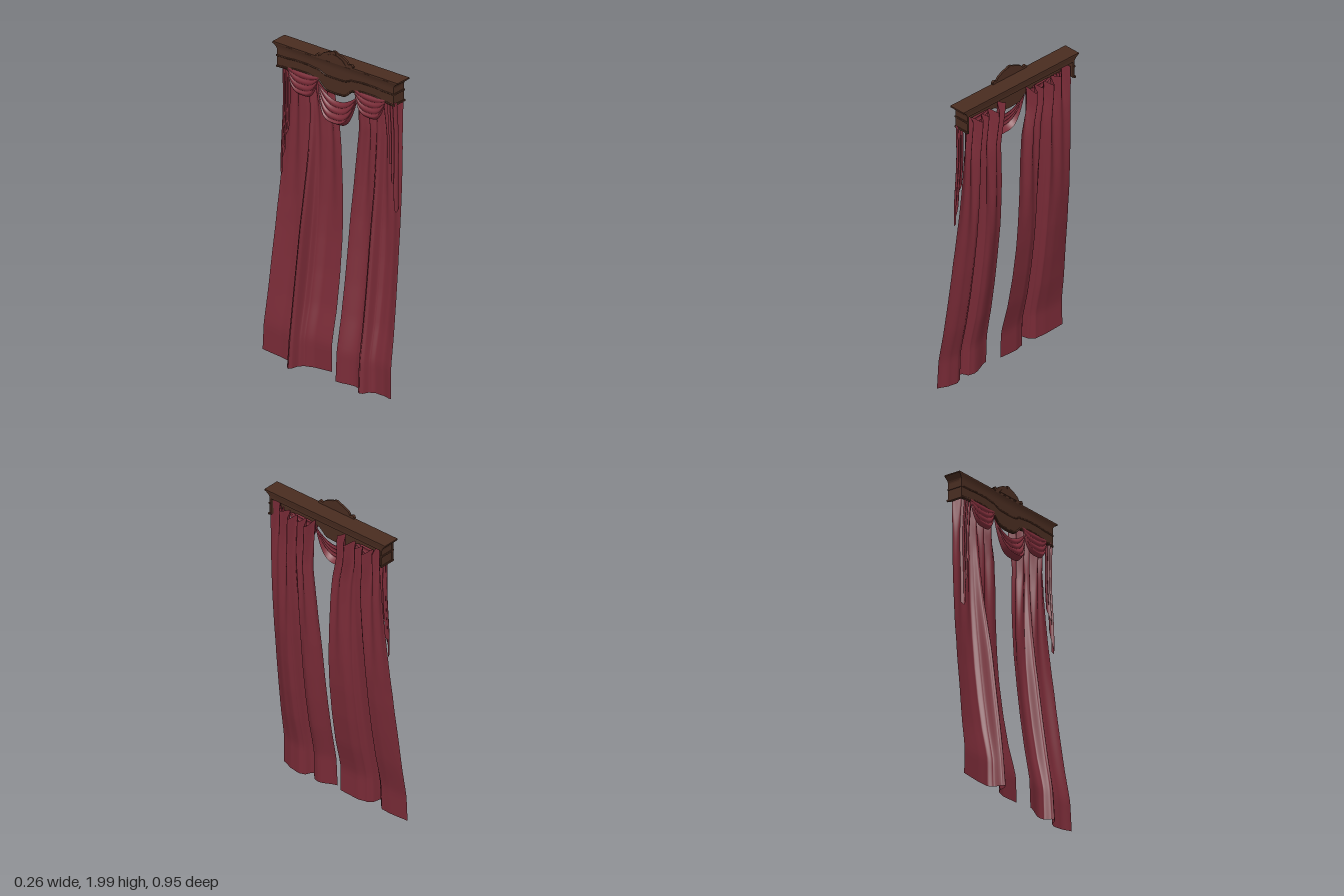
import * as THREE from 'three';

const wood = new THREE.MeshStandardMaterial({ color: 0x492c20 });
wood.name = 'dark wood';
const cloth = new THREE.MeshStandardMaterial({ color: 0x792b37, side: THREE.DoubleSide });
cloth.name = 'red cloth';

// Lookup through a short list of [position, value] keys, optionally eased
function keyed(keys, t, ease = false) {
  if (t <= keys[0][0]) return keys[0][1];
  for (let i = 1; i < keys.length; i++) {
    const [a, va] = keys[i - 1], [b, vb] = keys[i];
    if (t <= b) {
      const k = (t - a) / (b - a);
      return THREE.MathUtils.lerp(va, vb, ease ? k * k * (3 - 2 * k) : k);
    }
  }
  return keys[keys.length - 1][1];
}

// Cloth sheet: rule(u, v) gives [x, y, z], v runs from bottom to top
function sheet(name, nu, nv, rule) {
  const geo = new THREE.PlaneGeometry(1, 1, nu, nv);
  const p = geo.attributes.position;
  for (let i = 0; i < p.count; i++) p.setXYZ(i, ...rule(p.getX(i) + 0.5, p.getY(i) + 0.5));
  geo.computeVertexNormals();
  const mesh = new THREE.Mesh(geo, cloth);
  mesh.name = name;
  return mesh;
}

// Flat outline in (z, y), given thickness from xFront to xBack
function plate(name, points, xFront, xBack) {
  const shape = new THREE.Shape(points.map(([z, y]) => new THREE.Vector2(z, y)));
  const geo = new THREE.ExtrudeGeometry(shape, { depth: xBack - xFront, bevelEnabled: false });
  geo.rotateY(-Math.PI / 2).translate(xBack, 0, 0);
  const mesh = new THREE.Mesh(geo, wood);
  mesh.name = name;
  return mesh;
}

function box(name, x0, x1, y0, y1, z0, z1) {
  const mesh = new THREE.Mesh(new THREE.BoxGeometry(x1 - x0, y1 - y0, z1 - z0), wood);
  mesh.position.set((x0 + x1) / 2, (y0 + y1) / 2, (z0 + z1) / 2);
  mesh.name = name;
  return mesh;
}

// Height of the shaped lower edge of the pelmet, mirrored about the centre
const lowerEdge = (z) => keyed([[0, 1.73], [0.06, 1.733], [0.13, 1.78], [0.2, 1.795], [0.28, 1.795],
  [0.35, 1.783], [0.42, 1.78]], Math.abs(z), true);

function createPelmet() {
  const g = new THREE.Group();
  g.name = 'pelmet';

  // Front board, the bead along its lower edge and a gentler one above
  const low = [], trim = [];
  for (let i = 0; i <= 60; i++) {
    const z = -0.42 + 0.84 * i / 60;
    low.push([z, lowerEdge(z)]);
    trim.push(new THREE.Vector3(0.021, lowerEdge(z) + 0.008, z));
  }
  g.add(plate('frontBoard', [...low, [0.42, 1.9], [-0.42, 1.9]], 0.02, 0.032));
  const upper = trim.map((p) => new THREE.Vector3(p.x, 1.852 + (p.y - 1.788) * 0.45, p.z));
  for (const [name, path] of [['lowerBead', trim], ['middleBead', upper]]) {
    const bead = new THREE.Mesh(
      new THREE.TubeGeometry(new THREE.CatmullRomCurve3(path), 80, 0.005, 6), wood);
    bead.name = name;
    g.add(bead);
  }

  // End boards with their beads
  for (const s of [-1, 1]) {
    const span = (a, b) => (s > 0 ? [a, b] : [-b, -a]);
    g.add(box('endBoard', 0.02, 0.115, 1.78, 1.9, ...span(0.406, 0.417)));
    g.add(box('endBead', 0.017, 0.117, 1.847, 1.856, ...span(0.412, 0.423)));
    g.add(box('endBead', 0.017, 0.122, 1.78, 1.79, ...span(0.412, 0.423)));
  }

  // Flared crown: the block widens towards its top
  const geo = new THREE.BoxGeometry(1, 1, 1, 1, 5, 1);
  const p = geo.attributes.position;
  for (let i = 0; i < p.count; i++) {
    const v = p.getY(i) + 0.5, flare = 0.03 * v * v;
    p.setXYZ(i, p.getX(i) > 0 ? 0.115 + flare / 6 : 0.02 - flare / 4, 1.885 + 0.04 * v,
      Math.sign(p.getZ(i)) * (0.417 + flare));
  }
  const crown = new THREE.Mesh(geo.toNonIndexed(), wood);
  crown.geometry.computeVertexNormals();
  crown.name = 'crown';
  g.add(crown, box('topBoard', 0.013, 0.12, 1.924, 1.933, -0.445, 0.452));

  // Crest with a raised inner panel, scrolls and a centre boss
  const half = [[0.13, 1.93], [0.135, 1.942], [0.12, 1.952], [0.1, 1.946], [0.09, 1.962], [0.065, 1.976],
    [0.045, 1.985], [0.025, 1.99], [0.012, 1.998], [0, 2]];
  const mirrored = (pts) => [...pts, ...pts.slice(0, -1).reverse().map(([z, y]) => [-z, y])];
  g.add(plate('crest', mirrored(half), 0.012, 0.025));
  g.add(plate('crestPanel', mirrored([[0.08, 1.937], [0.06, 1.958], [0.03, 1.974], [0, 1.98]]), 0.009, 0.014));
  for (const [z, y, r] of [[-0.12, 1.943, 0.01], [0.12, 1.943, 0.01], [0, 1.985, 0.012]]) {
    const boss = new THREE.Mesh(new THREE.CylinderGeometry(r, r, 0.016, 14), wood);
    boss.rotation.z = Math.PI / 2;
    boss.position.set(0.0175, y, z);
    boss.name = 'crestScroll';
    g.add(boss);
  }
  return g;
}

// Front and back limits of the folds at each height
const foldFront = [[0, -0.137], [0.2, -0.12], [0.4, -0.096], [0.6, -0.07], [0.8, -0.044], [1, -0.018],
  [1.2, 0.004], [1.35, 0.016], [1.5, 0.022], [1.9, 0.026]];
const foldBack = [[0, -0.032], [0.2, -0.03], [0.27, -0.015], [0.4, 0.018], [0.6, 0.053], [0.8, 0.078],
  [1, 0.095], [1.2, 0.106], [1.5, 0.114], [1.9, 0.11]];
// How far the outer edge is pulled towards the front at each height
const edgePull = [[0, 0], [0.2, 0.02], [0.4, 0.18], [0.6, 0.27], [0.9, 0.28], [1.2, 0.2], [1.6, 0]];

// Curtain panel: broad folds at the hem turn into soft pleats at the top
function curtain(name, hem, inner, outer, folds, pull) {
  const heading = [[0, 1.84], [0.08, 1.83], [0.18, 1.81], [0.7, 1.805], [0.8, 1.825], [0.87, 1.868], [1, 1.872]];
  return sheet(name, 140, 60, (u, v) => {
    const pleat = -Math.cos(u * 5 * Math.PI * 2);
    const top = keyed(heading, u, true) + 0.008 * pleat;
    const bottom = hem - 0.012 * Math.sin(u * Math.PI);
    const y = THREE.MathUtils.lerp(bottom, top, v);
    const z = THREE.MathUtils.lerp(keyed(inner, y), keyed(outer, y), u);
    const gather = THREE.MathUtils.smoothstep(y, 0.8, 1.85);
    const pinch = THREE.MathUtils.smoothstep(y, 1.55, 1.8);
    const gathered = 0.36 + (0.14 + 0.14 * pinch) * pleat + 0.12 * Math.cos(u * 17);
    const fold = THREE.MathUtils.lerp(keyed(folds, u, true), gathered, gather)
      + pull * keyed(edgePull, y) * u ** 4;
    const x = THREE.MathUtils.lerp(keyed(foldBack, y), keyed(foldFront, y), THREE.MathUtils.clamp(fold, 0, 1));
    return [x, y, z];
  });
}

// Draped swag hung between two points, with rounded ridges and a lower lip turned back
function swag(name, z0, z1, yTop, sagTop, sagBottom, reach, ridgeDepth) {
  return sheet(name, 32, 40, (u, v) => {
    const w = 1 - v, sag = 1 - Math.abs(2 * u - 1) ** (2 + 1.5 * w);
    const ridge = Math.abs(Math.sin(w * Math.PI * 4));
    const y = yTop - 0.02 * w - THREE.MathUtils.lerp(sagTop, sagBottom, w) * sag;
    const x = 0.018 - sag * (reach * keyed([[0, 0], [0.85, 1], [1, 0.3]], w) + ridgeDepth * ridge);
    return [x, y, THREE.MathUtils.lerp(z0, z1, u)];
  });
}

// Folded side tail, its hem stepping down towards the outer edge
function tail(name, zInner, zOuter) {
  return sheet(name, 40, 20, (u, v) => {
    const zigzag = Math.acos(Math.cos(u * Math.PI * 5)) / Math.PI;
    const bottom = 1.42 - 0.3 * keyed([[0, 0], [0.3, 0.25], [0.6, 0.6], [0.85, 1], [1, 1]], u)
      + 0.03 * zigzag;
    const y = THREE.MathUtils.lerp(bottom, 1.8, v);
    const x = 0.02 + 0.028 * zigzag + 0.006 * Math.sin(y * 9);
    const spread = THREE.MathUtils.lerp(zInner, zOuter, u) + 0.006 * Math.sin(u * Math.PI * 5);
    return [x, y, spread * (1 - 0.03 * v)];
  });
}

export function createModel() {
  const model = new THREE.Group();
  model.name = 'curtains';
  model.add(createPelmet());

  model.add(curtain('nearCurtain', 0.022,
    [[0, 0.083], [1, 0.09], [1.3, 0.105], [1.55, 0.123], [1.85, 0.095]],
    [[0, 0.475], [1, 0.445], [1.5, 0.428], [1.9, 0.415]],
    [[0, 0.47], [0.3, 0.17], [0.39, 0.25], [0.45, 0.62], [0.485, 0.7], [0.52, 0.62], [0.58, 0.25],
      [0.66, 0.13], [0.8, 0.18], [1, 0.38]], 0.3));
  model.add(curtain('farCurtain', 0.043,
    [[0, 0.02], [1, 0], [1.4, -0.015], [1.55, -0.028], [1.7, -0.06], [1.85, -0.065]],
    [[0, -0.475], [1, -0.432], [1.6, -0.4], [1.9, -0.392]],
    [[0, 0], [0.24, 0.02], [0.37, 0.17], [0.42, 0.4], [0.45, 0.88], [0.475, 1], [0.505, 0.9],
      [0.54, 0.4], [0.6, 0.17], [0.75, 0.1], [1, 0.08]], 1));

  model.add(swag('centreSwag', -0.12, 0.16, 1.765, 0.07, 0.187, 0.036, 0.009));
  model.add(swag('sideSwag', -0.34, -0.12, 1.8, 0, 0.12, 0.015, 0.008));
  model.add(swag('sideSwag', 0.14, 0.36, 1.8, 0, 0.12, 0.015, 0.008));
  model.add(tail('farTail', -0.345, -0.4));
  model.add(tail('nearTail', 0.385, 0.437));
  return model;
}
